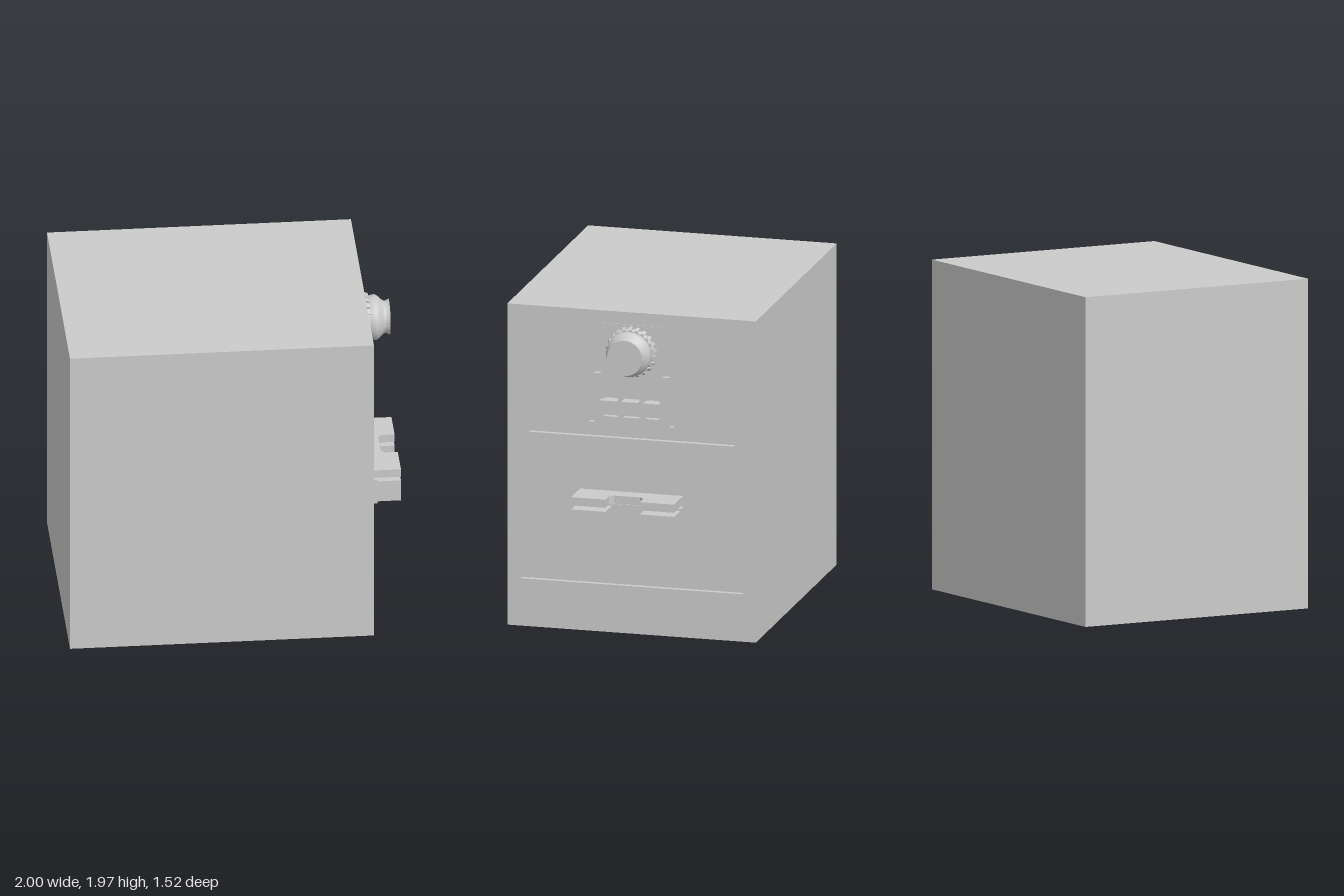
import * as THREE from 'three';
import { toCreasedNormals } from 'three/addons/utils/BufferGeometryUtils.js';

const material = new THREE.MeshStandardMaterial({ color: 0xcccccc });

function add(parent, name, geometry) {
  const mesh = new THREE.Mesh(geometry, material);
  mesh.name = name;
  parent.add(mesh);
  return mesh;
}

// Box given by its limits on each axis
function box(parent, name, x0, x1, y0, y1, z0, z1) {
  const mesh = add(parent, name, new THREE.BoxGeometry(x1 - x0, y1 - y0, z1 - z0));
  mesh.position.set((x0 + x1) / 2, (y0 + y1) / 2, (z0 + z1) / 2);
  return mesh;
}

const outline = (points) => points.map(([a, b]) => new THREE.Vector2(a, b));
const rect = (a0, a1, b0, b1) => outline([[a0, b0], [a1, b0], [a1, b1], [a0, b1]]);

// Side outline (-z, y) extruded along x, with holes
function sidePlate(parent, name, points, holes, x0, x1) {
  const shape = new THREE.Shape(points);
  shape.holes = holes.map((h) => new THREE.Path(h));
  const geometry = new THREE.ExtrudeGeometry(shape, { depth: x1 - x0, bevelEnabled: false });
  geometry.rotateY(Math.PI / 2).translate(x0, 0, 0);
  return add(parent, name, geometry);
}

export function createModel() {
  const model = new THREE.Group();
  const H = 1.965, Z = 0.76, T = 0.08, FACE = 0.8, RECESS = 0.77;

  // Hollow cabinet, open underneath
  const cabinet = new THREE.Group();
  cabinet.name = 'cabinet';
  model.add(cabinet);
  box(cabinet, 'cabinetTop', -1, RECESS, H - T, H, -Z, Z);
  box(cabinet, 'rearWall', -1, -1 + T, 0, H - T, -Z, Z);
  for (const s of [-1, 1]) {
    const [a, b] = [s * Z, s * (Z - T)].sort((p, q) => p - q);
    box(cabinet, 'sideWall', -1 + T, RECESS, 0, H - T, a, b);
  }
  box(cabinet, 'controlWall', FACE - T, RECESS, 0, H - T, -Z + T, Z - T);
  box(cabinet, 'innerShelf', -0.79, FACE - T, 0.4, 0.45, -Z + T, Z - T);

  // Control face with two grooves and the panel recess
  const lowerGroove = outline([
    [-0.68, 0.29], [0.68, 0.29], [0.68, 0.32], [0.63, 0.32],
    [0.63, 0.335], [-0.63, 0.335], [-0.63, 0.32], [-0.68, 0.32],
  ]);
  sidePlate(cabinet, 'controlFace', rect(-Z, Z, 0, H), [
    rect(-0.63, 0.63, 1.19, 1.22), lowerGroove, rect(-0.26, 0.26, 1.28, 1.89),
  ], RECESS, FACE);

  // Stepped control panel with button wells
  const panel = new THREE.Group();
  panel.name = 'controlPanel';
  model.add(panel);
  const wells = [-0.128, 0, 0.128].map((c) => {
    const w = c ? 0.042 : 0.05;
    return rect(c - w, c + w, 1.32, 1.47);
  });
  sidePlate(panel, 'panelPlate', outline([
    [-0.23, 1.245], [0.23, 1.245], [0.23, 1.58], [0.19, 1.58],
    [0.19, 1.89], [-0.19, 1.89], [-0.19, 1.58], [-0.23, 1.58],
  ]), wells, RECESS, FACE + 0.004);
  for (const c of [-0.132, 0, 0.132]) {
    const w = c ? 0.052 : 0.05;
    box(panel, 'button', RECESS, 0.845, 1.362, 1.426, c - w, c + w);
  }
  for (const s of [-1, 1]) {
    box(panel, 'recessLip', RECESS, 0.785, 1.85, 1.89, s * 0.225 - 0.035, s * 0.225 + 0.035);
  }

  // Knob turned about x, with a toothed base
  const knob = new THREE.Group();
  knob.name = 'knob';
  knob.position.set(FACE, 1.725, 0);
  knob.rotation.z = -Math.PI / 2;
  model.add(knob);
  const curve = new THREE.SplineCurve(outline([
    [0.128, 0.035], [0.135, 0.06], [0.134, 0.08], [0.119, 0.1],
    [0.102, 0.118], [0.096, 0.13], [0.1, 0.145], [0.107, 0.158],
  ])).getPoints(24);
  const profile = [...outline([[0.143, 0], [0.132, 0.035]]), ...curve, new THREE.Vector2(0, 0.158)];
  add(knob, 'knobBody', toCreasedNormals(new THREE.LatheGeometry(profile, 64), 0.6));
  const teeth = 22;
  for (let i = 0; i < teeth; i++) {
    const a = (i / teeth) * Math.PI * 2;
    // Each tooth narrows toward the front with the base
    const tooth = new THREE.BoxGeometry(0.034, 0.037, 0.02);
    const p = tooth.attributes.position;
    for (let k = 0; k < p.count; k++) if (p.getY(k) > 0) p.setX(k, p.getX(k) - 0.014);
    tooth.translate(0.14, 0.0185, 0).rotateY(a);
    tooth.computeVertexNormals();
    add(knob, 'knobTooth', tooth);
  }

  // Twin block holder under a notched slab
  const holder = new THREE.Group();
  holder.name = 'holder';
  model.add(holder);
  box(holder, 'holderBackPlate', FACE, 0.86, 0.64, 0.8, -0.315, 0.315);
  box(holder, 'holderLink', FACE, 0.905, 0.8, 0.816, -0.08, 0.08);
  for (const s of [-1, 1]) {
    box(holder, 'holderBlock', FACE, 1, 0.655, 0.79, s * 0.21 - 0.105, s * 0.21 + 0.105);
  }
  const slab = new THREE.Shape(outline([
    [FACE, -0.315], [1, -0.315], [1, -0.105], [0.92, -0.105], [0.9, -0.08],
    [0.9, 0.08], [0.92, 0.105], [1, 0.105], [1, 0.315], [FACE, 0.315],
  ]));
  const slabGeometry = new THREE.ExtrudeGeometry(slab, { depth: 0.05, bevelEnabled: false });
  slabGeometry.rotateX(-Math.PI / 2).translate(0, 0.815, 0);
  add(holder, 'holderSlab', slabGeometry);

  return model;
}
